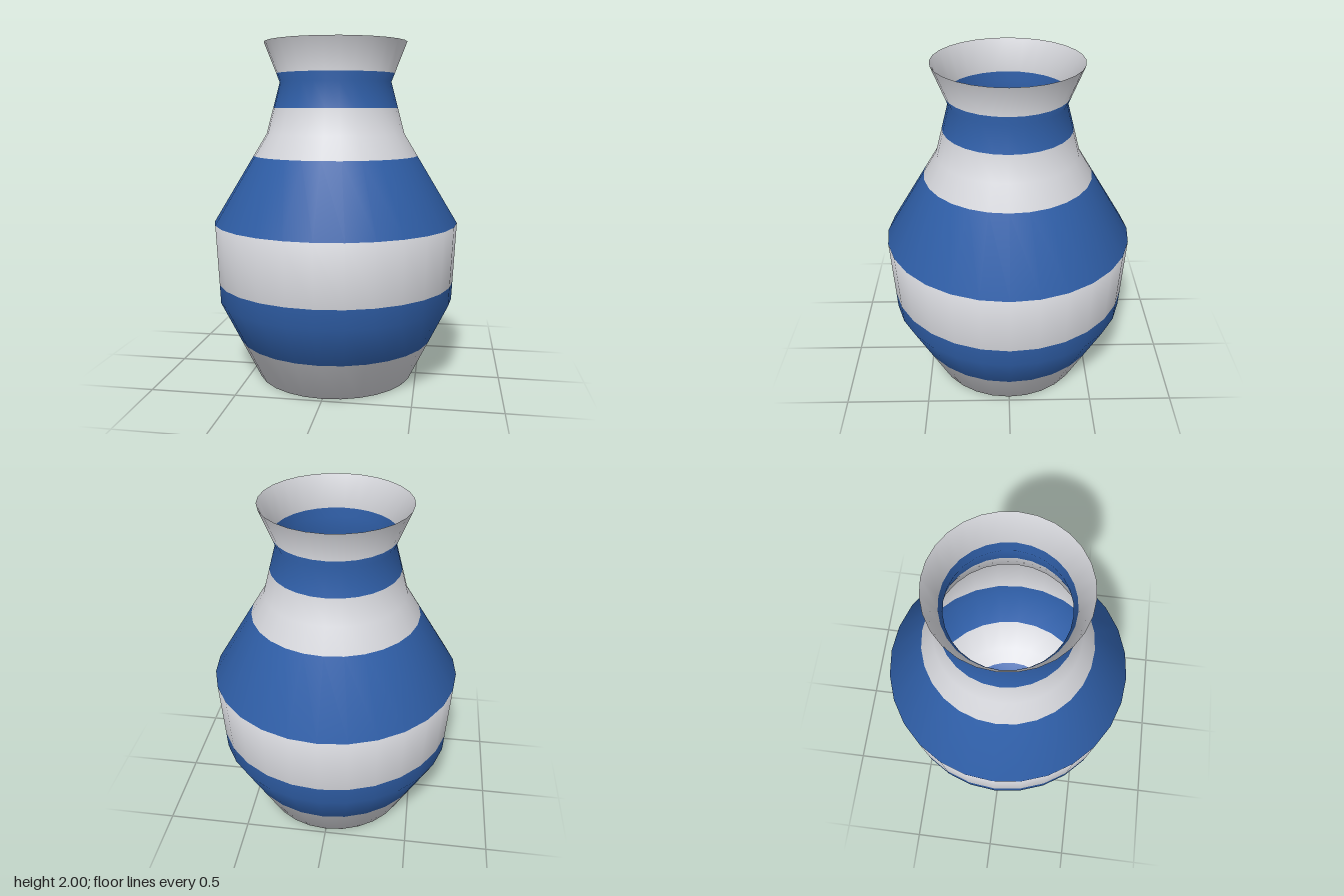
import * as THREE from 'three';

const SIDES = 28;
const white = new THREE.MeshStandardMaterial({ name: 'white glaze', color: 0xd7d8dd, side: THREE.DoubleSide });
const blue = new THREE.MeshStandardMaterial({ name: 'blue glaze', color: 0x3060aa, side: THREE.DoubleSide });

// Bends of the thin wall as [radius, height], from the centre of the floor to the lip
const bends = [[0, 0], [0.47, 0], [0.705, 0.48], [0.728, 0.945], [0.41, 1.47], [0.33, 1.77], [0.42, 2]];

// Heights where the stripes change colour, and the radius of the blue disc under the floor
const stripeEdges = [0.24, 0.59, 0.945, 1.34, 1.62, 1.82];
const FLOOR_DISC = 0.35;

// Outline with extra points at the colour changes; t is the place between two bends
function stripedOutline() {
  const rows = [];
  bends.forEach(([r, y], k) => {
    rows.push({ r, y, k, t: 0 });
    const next = bends[k + 1];
    if (!next) return;
    const cuts = k === 0
      ? [FLOOR_DISC / next[0]]
      : stripeEdges.filter((e) => e > y && e < next[1]).map((e) => (e - y) / (next[1] - y));
    for (const t of cuts) {
      rows.push({ r: r + (next[0] - r) * t, y: y + (next[1] - y) * t, k, t });
    }
  });
  return rows;
}

function isBlue(a, b) {
  if (b.y === 0) return b.r <= FLOOR_DISC;
  const mid = (a.y + b.y) / 2;
  return stripeEdges.filter((e) => e < mid).length % 2 === 1;
}

function vaseGeometry() {
  const rows = stripedOutline();
  const n = rows.length;
  const geo = new THREE.LatheGeometry(rows.map((p) => new THREE.Vector2(p.r, p.y)), SIDES);

  // Smooth shading runs from bend to bend, undisturbed by the colour changes
  const plain = new THREE.LatheGeometry(bends.map(([r, y]) => new THREE.Vector2(r, y)), SIDES);
  const from = new THREE.Vector3();
  const to = new THREE.Vector3();
  for (let i = 0; i <= SIDES; i++) {
    rows.forEach(({ k, t }, j) => {
      const at = i * bends.length + k;
      from.fromBufferAttribute(plain.attributes.normal, at);
      if (t > 0) from.lerp(to.fromBufferAttribute(plain.attributes.normal, at + 1), t).normalize();
      geo.attributes.normal.setXYZ(i * n + j, from.x, from.y, from.z);
    });
  }

  // Sort the faces of each ring by colour
  const faces = [[], []];
  for (let j = 0; j < n - 1; j++) {
    const list = faces[isBlue(rows[j], rows[j + 1]) ? 1 : 0];
    for (let i = 0; i < SIDES; i++) {
      const a = i * n + j;
      const b = a + n;
      list.push(a, b, a + 1, b + 1, a + 1, b);
    }
  }
  geo.setIndex([...faces[0], ...faces[1]]);
  geo.clearGroups();
  geo.addGroup(0, faces[0].length, 0);
  geo.addGroup(faces[0].length, faces[1].length, 1);
  return geo;
}

export function createModel() {
  const model = new THREE.Group();
  model.name = 'stripedVase';
  const vase = new THREE.Mesh(vaseGeometry(), [white, blue]);
  vase.name = 'vaseBody';
  model.add(vase);
  return model;
}
